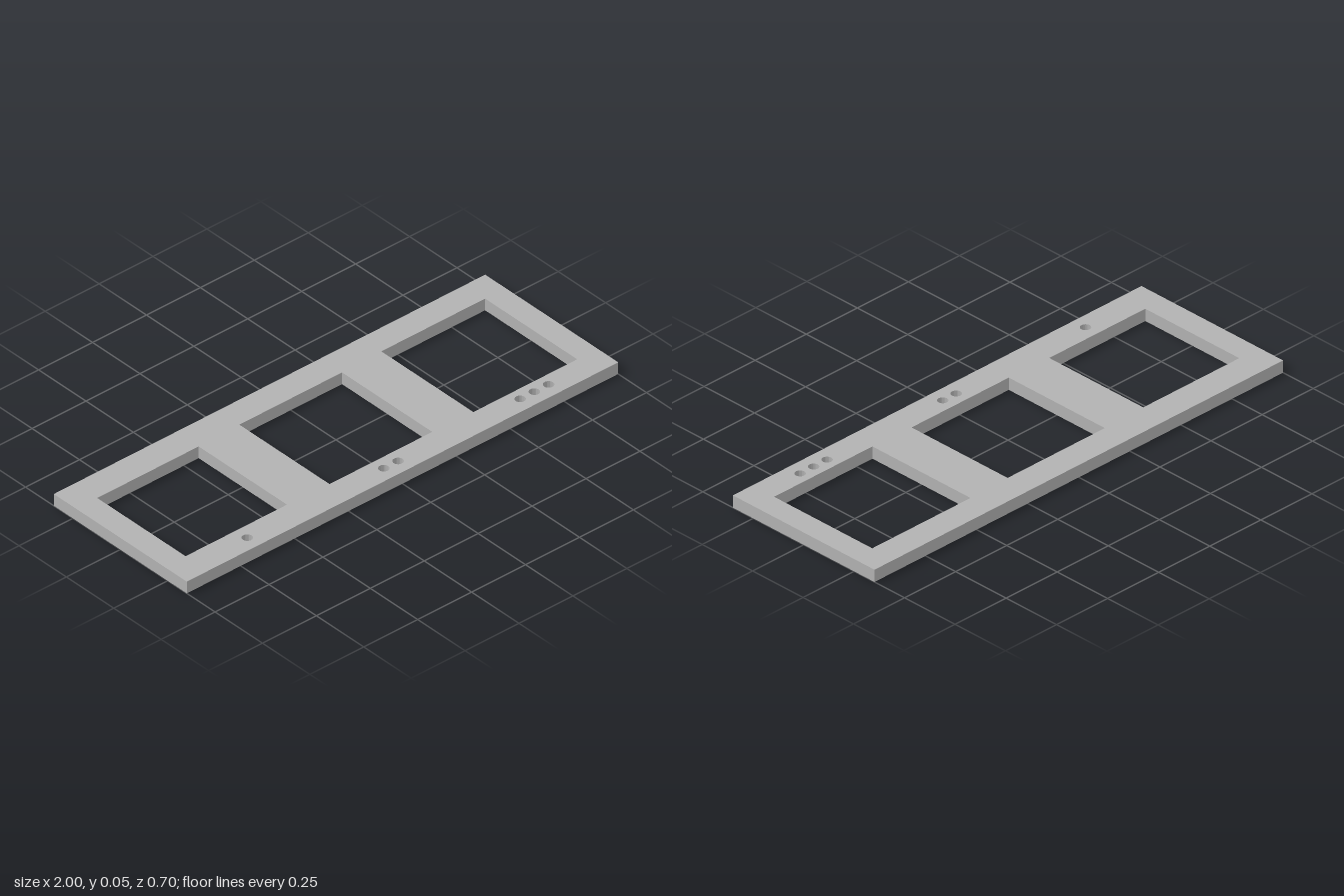
import * as THREE from 'three';
import { toCreasedNormals } from 'three/addons/utils/BufferGeometryUtils.js';

// Closed rectangle outline centred on (cx, 0)
function rectangle(PathType, cx, width, depth) {
  const w = width / 2, d = depth / 2;
  return new PathType([
    [cx - w, -d], [cx + w, -d], [cx + w, d], [cx - w, d], [cx - w, -d],
  ].map(([x, y]) => new THREE.Vector2(x, y)));
}

export function createModel() {
  const model = new THREE.Group();
  model.name = 'switchGaugePlate';

  const grey = new THREE.MeshStandardMaterial({ color: 0xb2b2b2 });
  grey.name = 'grey';

  const thickness = 0.05;
  const shape = rectangle(THREE.Shape, 0, 2, 0.702);

  // Three windows, each slightly larger than the last, marked by one, two and three dots
  const dotRadius = 0.02, dotSpacing = 0.066, dotZ = 0.291;
  [
    { x: -0.667, width: 0.47, depth: 0.466 },
    { x: -0.001, width: 0.476, depth: 0.476 },
    { x: 0.664, width: 0.481, depth: 0.486 },
  ].forEach(({ x, width, depth }, i) => {
    shape.holes.push(rectangle(THREE.Path, x, width, depth));
    for (let k = 0; k <= i; k++) {
      const dot = new THREE.Path();
      dot.absarc(x + (k - i / 2) * dotSpacing, -dotZ, dotRadius, 0, Math.PI * 2, true);
      shape.holes.push(dot);
    }
  });

  // Plate laid flat on the ground, with smooth dot walls and sharp edges
  const extruded = new THREE.ExtrudeGeometry(shape, {
    depth: thickness, bevelEnabled: false, curveSegments: 24,
  });
  extruded.rotateX(-Math.PI / 2);
  const plate = new THREE.Mesh(toCreasedNormals(extruded, Math.PI / 6), grey);
  plate.name = 'plate';
  model.add(plate);

  return model;
}
